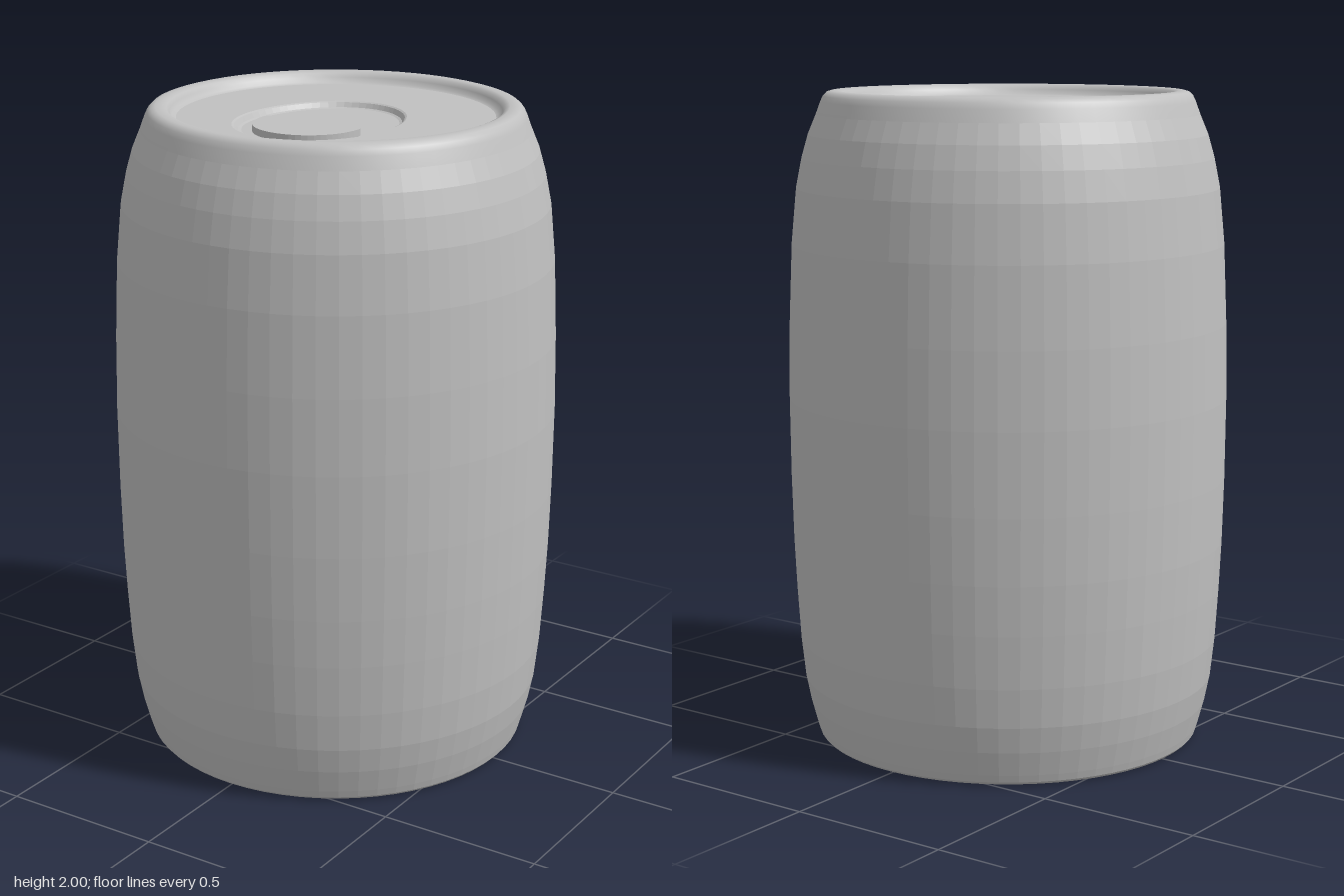
import * as THREE from 'three';

const SEGMENTS = 64;
const metal = new THREE.MeshStandardMaterial({ color: 0xc0c0c0 });
metal.name = 'plain grey metal';

// Faceted finish: every face gets its own normal
function faceted(geometry) {
  const g = geometry.index ? geometry.toNonIndexed() : geometry;
  g.computeVertexNormals();
  return g;
}

function part(name, geometry) {
  const mesh = new THREE.Mesh(geometry, metal);
  mesh.name = name;
  return mesh;
}

function lathe(profile) {
  return new THREE.LatheGeometry(profile.map(([r, y]) => new THREE.Vector2(r, y)), SEGMENTS);
}

// Closed oval ring in a horizontal plane; front and back halves may differ
function ring(y, halfWidth, z, front, back) {
  return Array.from({ length: SEGMENTS }, (_, i) => {
    const a = (i / SEGMENTS) * Math.PI * 2;
    const s = Math.sin(a);
    return [Math.cos(a) * halfWidth, y, z + s * (s > 0 ? front : back)];
  });
}

// Surface through rings listed from the outside in, facing up
function loft(rings) {
  const index = [];
  for (let r = 0; r < rings.length - 1; r++) {
    for (let i = 0; i < SEGMENTS; i++) {
      const j = (i + 1) % SEGMENTS;
      const a = r * SEGMENTS + i, b = r * SEGMENTS + j;
      const c = a + SEGMENTS, d = b + SEGMENTS;
      index.push(a, c, b, b, c, d);
    }
  }
  const g = new THREE.BufferGeometry();
  g.setAttribute('position', new THREE.Float32BufferAttribute(rings.flat(2), 3));
  g.setIndex(index);
  g.computeVertexNormals();
  return g;
}

export function createModel() {
  const group = new THREE.Group();
  group.name = 'drinkCan';

  // Bulging side wall
  group.add(part('body', faceted(lathe([
    [0.595, 0.012], [0.602, 0.035], [0.622, 0.11], [0.638, 0.19], [0.651, 0.31],
    [0.661, 0.47], [0.668, 0.62], [0.673, 0.82], [0.675, 1.07], [0.671, 1.3],
    [0.661, 1.54], [0.645, 1.71], [0.627, 1.8], [0.607, 1.87], [0.582, 1.93],
  ]))));

  // Rounded top rim, stepping down to the lid
  group.add(part('topRim', lathe([
    [0.582, 1.93], [0.568, 1.968], [0.56, 1.985], [0.549, 1.996], [0.535, 2],
    [0.515, 2], [0.502, 1.995], [0.494, 1.983], [0.487, 1.97], [0.475, 1.965],
  ])));

  // Rounded foot around the recessed base
  group.add(part('bottomRim', lathe([
    [0.48, 0.04], [0.492, 0.036], [0.51, 0.02], [0.53, 0.006], [0.55, 0],
    [0.575, 0], [0.588, 0.004], [0.595, 0.012],
  ])));
  group.add(part('base', lathe([[0, 0.04], [0.48, 0.04]])));

  // Lid with an egg-shaped hollow
  group.add(part('lid', faceted(loft([
    ring(1.965, 0.475, 0, 0.475, 0.475),
    ring(1.965, 0.24, 0.1, 0.275, 0.315),
    ring(1.962, 0.234, 0.1, 0.266, 0.309),
    ring(1.948, 0.226, 0.1, 0.248, 0.301),
    ring(1.945, 0.218, 0.1, 0.235, 0.293),
    ring(1.945, 0, 0.1, 0, 0),
  ]))));

  // Raised mouth plate with a dipped back edge and rounded corners
  const mouth = new THREE.Shape();
  mouth.moveTo(-0.145, 0.11);
  mouth.bezierCurveTo(-0.1, 0.112, -0.06, 0.132, 0, 0.132);
  mouth.bezierCurveTo(0.06, 0.132, 0.1, 0.112, 0.145, 0.11);
  mouth.quadraticCurveTo(0.167, 0.112, 0.167, 0.14);
  mouth.bezierCurveTo(0.167, 0.24, 0.09, 0.31, 0, 0.31);
  mouth.bezierCurveTo(-0.09, 0.31, -0.167, 0.24, -0.167, 0.14);
  mouth.quadraticCurveTo(-0.167, 0.112, -0.145, 0.11);
  const plate = new THREE.ExtrudeGeometry(mouth, { depth: 0.025, bevelEnabled: false, curveSegments: 14 });
  plate.rotateX(Math.PI / 2);
  const mouthPlate = part('mouthPlate', plate);
  mouthPlate.position.y = 1.966;
  group.add(mouthPlate);

  return group;
}
